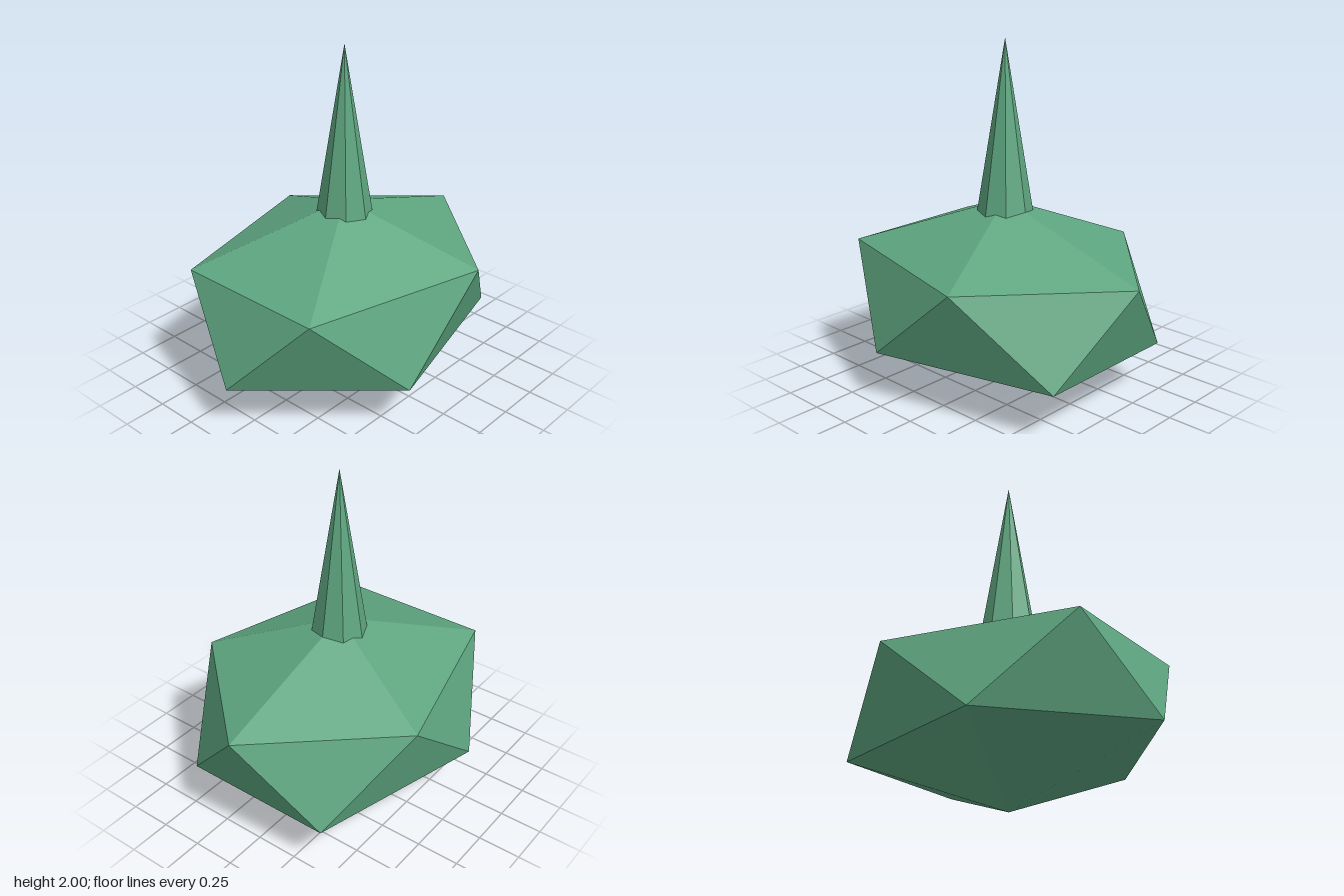
import * as THREE from 'three';
import { ConvexGeometry } from 'three/addons/geometries/ConvexGeometry.js';

export function createModel() {
  const model = new THREE.Group();
  const green = new THREE.MeshStandardMaterial({ color: 0x5ea680, flatShading: true });
  green.name = 'green';

  // Squashed twenty-sided body: two staggered rings of five between two poles
  const points = [new THREE.Vector3(0, 0, 0), new THREE.Vector3(0, 1.1, 0)];
  for (let i = 0; i < 10; i++) {
    const a = (i * Math.PI) / 5;
    const y = i % 2 ? 0.305 : 0.797;
    points.push(new THREE.Vector3(0.943 * Math.cos(a), y, 0.767 * Math.sin(a)));
  }
  const body = new THREE.Mesh(new ConvexGeometry(points), green);
  body.name = 'body';
  model.add(body);

  // Eight-sided spike sunk into the top of the body
  const base = 0.98;
  const spike = new THREE.Mesh(new THREE.ConeGeometry(0.166, 2 - base, 8), green);
  spike.position.y = (2 + base) / 2;
  spike.name = 'spike';
  model.add(spike);

  return model;
}
